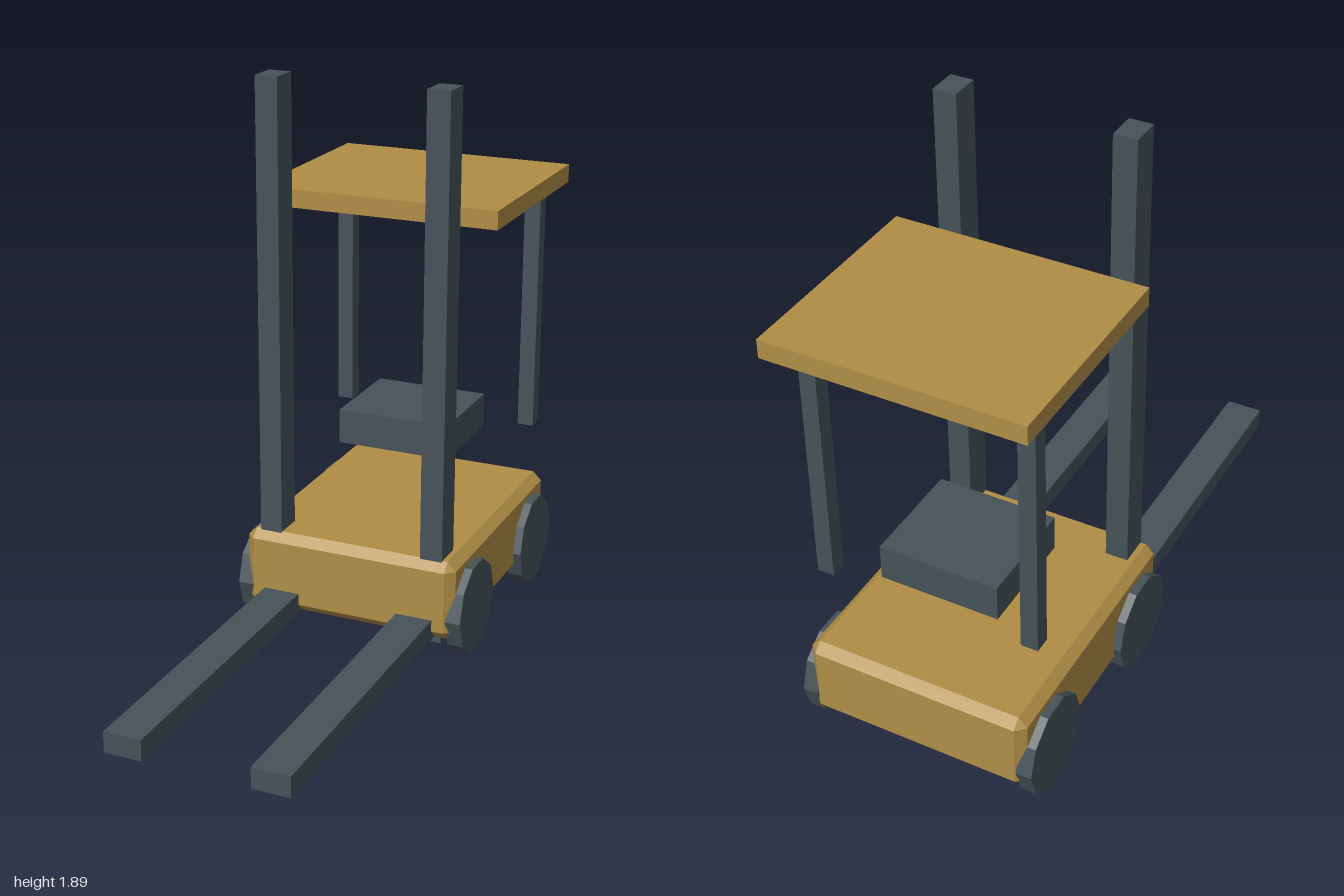
import * as THREE from 'three';
import { ConvexGeometry } from 'three/addons/geometries/ConvexGeometry.js';

const paint = new THREE.MeshStandardMaterial({ color: 0xb08d46, flatShading: true });
const steel = new THREE.MeshStandardMaterial({ color: 0x465259, flatShading: true });

// Box given by its extents along each axis
function block(name, material, [x0, x1], [y0, y1], [z0, z1]) {
  const mesh = new THREE.Mesh(new THREE.BoxGeometry(x1 - x0, y1 - y0, z1 - z0), material);
  mesh.position.set((x0 + x1) / 2, (y0 + y1) / 2, (z0 + z1) / 2);
  mesh.name = name;
  return mesh;
}

// Box with every edge and corner chamfered by c
function chamferedBox(w, h, d, c) {
  const points = [];
  for (const sx of [-1, 1]) for (const sy of [-1, 1]) for (const sz of [-1, 1]) {
    const x = w / 2, y = h / 2, z = d / 2;
    for (const [px, py, pz] of [[x, y - c, z - c], [x - c, y, z - c], [x - c, y - c, z]]) {
      points.push(new THREE.Vector3(sx * px, sy * py, sz * pz));
    }
  }
  return new ConvexGeometry(points);
}

export function createModel() {
  const model = new THREE.Group();
  model.name = 'forklift';

  // Chassis
  const body = new THREE.Mesh(chamferedBox(0.75, 0.275, 0.92, 0.03), paint);
  body.position.set(0, 0.2175, -0.52);
  body.name = 'body';
  model.add(body);

  // Seat and overhead guard
  model.add(block('seat', steel, [-0.2, 0.2], [0.56, 0.68], [-0.805, -0.445]));
  model.add(block('roof', paint, [-0.417, 0.417], [1.425, 1.487], [-1, -0.28]));

  // Ten-sided wheels, flat side down
  const wheelGeometry = new THREE.CylinderGeometry(0.16, 0.16, 0.053, 10);
  wheelGeometry.rotateY(Math.PI / 2).rotateZ(Math.PI / 2);
  wheelGeometry.computeBoundingBox();
  // Turn so that a flat, not a corner, rests on the ground
  if (wheelGeometry.boundingBox.max.y > 0.157) wheelGeometry.rotateX(Math.PI / 10);

  for (const side of [-1, 1]) {
    const label = side > 0 ? 'left' : 'right';
    const span = (a, b) => (side > 0 ? [a, b] : [-b, -a]);
    model.add(block(label + 'Mast', steel, span(0.25, 0.327), [0.06, 1.89], [-0.188, -0.086]));
    model.add(block(label + 'Fork', steel, span(0.178, 0.304), [0.08, 0.15], [-0.1, 1]));
    model.add(block(label + 'RoofPost', steel, span(0.32, 0.376), [0.578, 1.43], [-0.883, -0.828]));
    for (const [end, z] of [['Front', -0.222], ['Rear', -0.822]]) {
      const wheel = new THREE.Mesh(wheelGeometry, steel);
      wheel.position.set(side * 0.376, 0.152, z);
      wheel.name = label + end + 'Wheel';
      model.add(wheel);
    }
  }
  return model;
}
